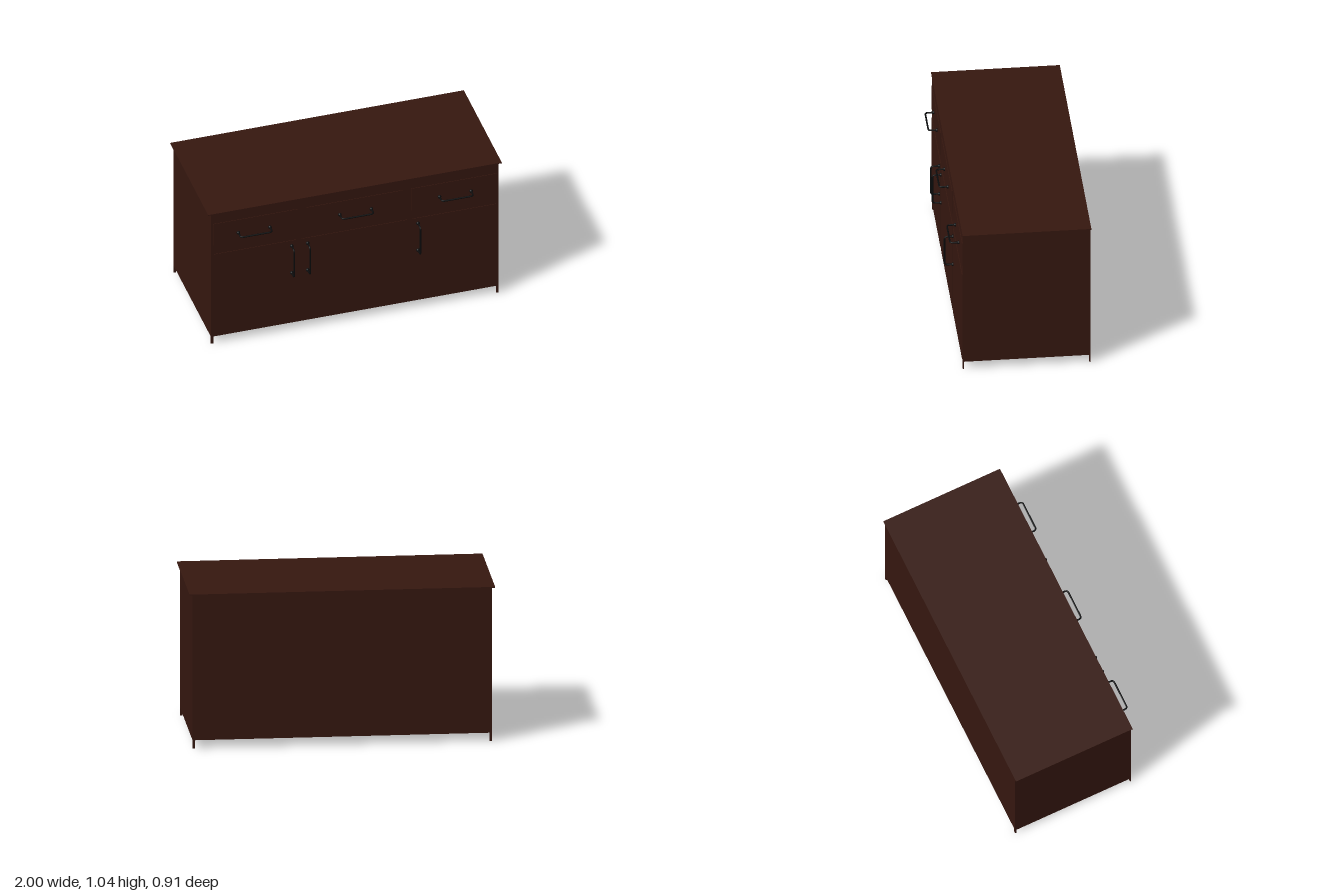
import * as THREE from 'three';

export function createModel() {
  const model = new THREE.Group();
  model.name = 'sideboard';
  const wood = new THREE.MeshStandardMaterial({ color: 0x35170f });
  const metal = new THREE.MeshStandardMaterial({ color: 0x0a0b0c });

  // Box given by its lower and upper corners
  function box(name, x0, x1, y0, y1, z0, z1) {
    const mesh = new THREE.Mesh(new THREE.BoxGeometry(x1 - x0, y1 - y0, z1 - z0), wood);
    mesh.position.set((x0 + x1) / 2, (y0 + y1) / 2, (z0 + z1) / 2);
    mesh.name = name;
    model.add(mesh);
  }

  // Carcass and thin overhanging top
  const front = 0.385, back = -0.452;
  box('cabinetBody', -0.98, 0.98, 0.055, 1.032, back, front);
  box('top', -1, 1, 1.032, 1.038, -0.455, 0.388);

  // Short corner legs
  for (const x of [-0.972, 0.972]) {
    for (const z of [back + 0.004, front - 0.004]) {
      box('leg', x - 0.008, x + 0.008, 0, 0.06, z - 0.004, z + 0.004);
    }
  }

  // Slightly raised drawer fronts and doors
  const face = front + 0.004;
  for (const [x0, x1] of [[-0.965, -0.387], [-0.33, 0.325], [0.383, 0.965]]) {
    box('drawerFront', x0, x1, 0.785, 0.958, front - 0.01, face);
  }
  for (const [x0, x1] of [[-0.96, -0.398], [-0.365, 0.355], [0.393, 0.96]]) {
    box('door', x0, x1, 0.072, 0.715, front - 0.01, face);
  }

  // Bent bar pull with rounded corners and a foot at each end
  const half = 0.1075, reach = 0.063, bend = 0.02;
  const v = (x, z) => new THREE.Vector3(x, 0, z);
  const path = new THREE.CurvePath();
  path.add(new THREE.LineCurve3(v(-half, 0), v(-half, reach - bend)));
  path.add(new THREE.QuadraticBezierCurve3(v(-half, reach - bend), v(-half, reach), v(bend - half, reach)));
  path.add(new THREE.LineCurve3(v(bend - half, reach), v(half - bend, reach)));
  path.add(new THREE.QuadraticBezierCurve3(v(half - bend, reach), v(half, reach), v(half, reach - bend)));
  path.add(new THREE.LineCurve3(v(half, reach - bend), v(half, 0)));
  const barGeometry = new THREE.TubeGeometry(path, 80, 0.0055, 10);
  const footGeometry = new THREE.SphereGeometry(0.012, 16, 12);

  function handle(name, x, y, vertical) {
    const group = new THREE.Group();
    group.name = name;
    const bar = new THREE.Mesh(barGeometry, metal);
    bar.name = 'bar';
    group.add(bar);
    for (const side of [-1, 1]) {
      const foot = new THREE.Mesh(footGeometry, metal);
      foot.name = 'foot';
      foot.position.set(side * half, 0, 0.007);
      group.add(foot);
    }
    group.position.set(x, y, front);
    if (vertical) group.rotation.z = Math.PI / 2;
    model.add(group);
  }
  for (const x of [-0.688, 0.003, 0.682]) handle('drawerHandle', x, 0.857, false);
  for (const x of [-0.432, -0.324, 0.428]) handle('doorHandle', x, 0.567, true);

  return model;
}
